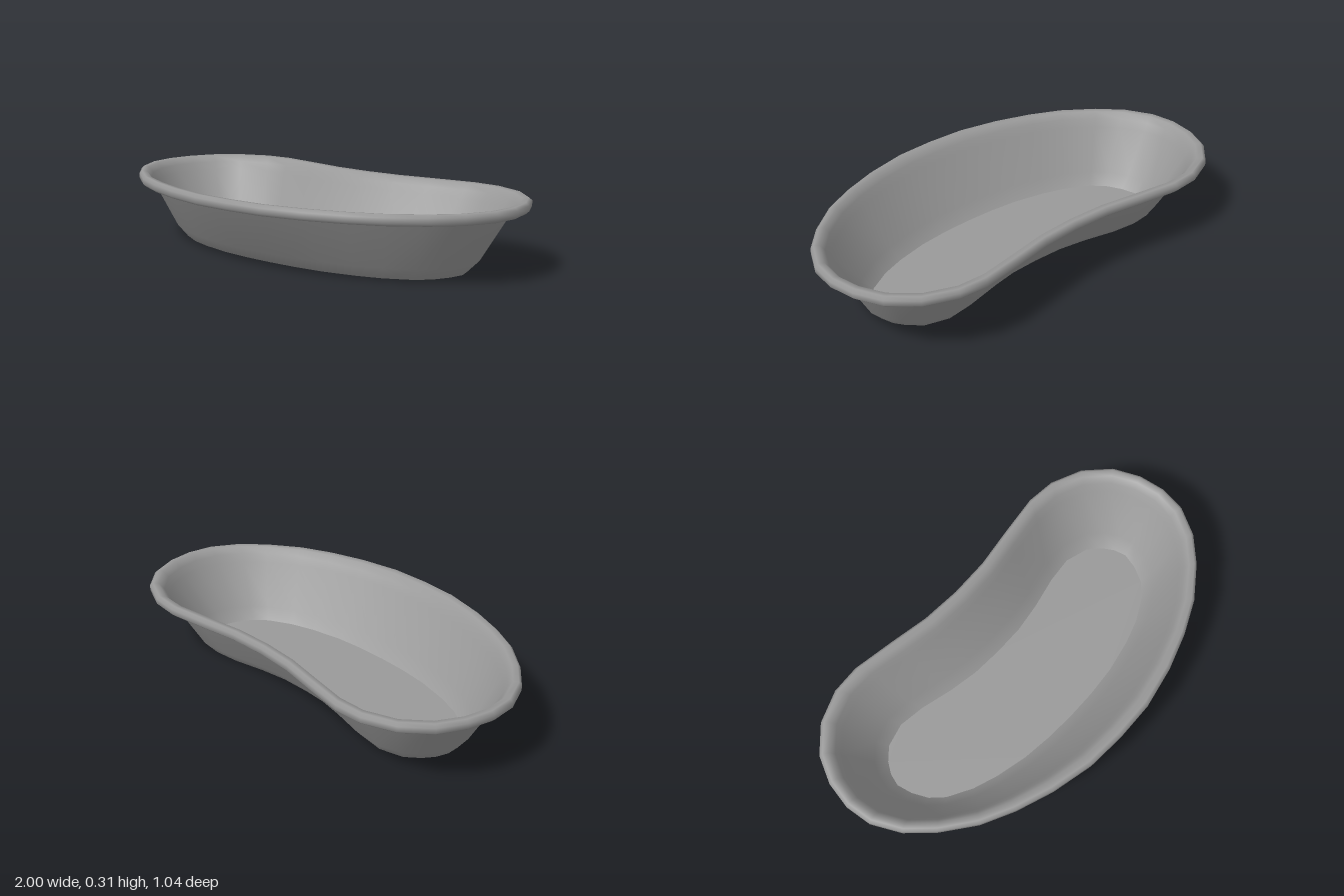
import * as THREE from 'three';

// Half outlines [x, z] from the middle of the concave back round to the front
const RIM = [[0, -0.453], [0.18, -0.462], [0.36, -0.492], [0.55, -0.52], [0.68, -0.51], [0.82, -0.452],
  [0.925, -0.352], [0.98, -0.235], [1, -0.115], [0.985, 0.005], [0.92, 0.13], [0.82, 0.235],
  [0.68, 0.34], [0.535, 0.41], [0.37, 0.467], [0.18, 0.508], [0, 0.516]];
const FLOOR = [[0, -0.208], [0.145, -0.213], [0.28, -0.235], [0.43, -0.271], [0.55, -0.285], [0.655, -0.255],
  [0.71, -0.205], [0.742, -0.155], [0.757, -0.1], [0.74, -0.03], [0.705, 0.04], [0.65, 0.095],
  [0.54, 0.155], [0.43, 0.192], [0.28, 0.225], [0.14, 0.239], [0, 0.243]];

// Mirror a half outline into a closed loop
const mirror = half => [...half, ...half.slice(1, -1).reverse().map(([x, z]) => [-x, z])];
const rim = mirror(RIM), floor = mirror(FLOOR);

// Skin a profile of [t, y] steps, where t runs from floor outline (0) to rim outline (1)
function sweep(profile) {
  const n = rim.length, positions = [], index = [];
  profile.forEach(([t, y], k) => {
    for (let i = 0; i < n; i++) {
      const [x0, z0] = floor[i], [x1, z1] = rim[i];
      positions.push(x0 + (x1 - x0) * t, y, z0 + (z1 - z0) * t);
      if (k === profile.length - 1) continue;
      const a = k * n + i, b = k * n + (i + 1) % n;
      index.push(a, b, a + n, b, b + n, a + n);
    }
  });
  const geometry = new THREE.BufferGeometry();
  geometry.setAttribute('position', new THREE.Float32BufferAttribute(positions, 3));
  geometry.setIndex(index);
  geometry.computeVertexNormals();
  return geometry;
}

export function createModel() {
  const group = new THREE.Group();
  group.name = 'kidneyDish';
  const material = new THREE.MeshStandardMaterial({ color: 0x999999, side: THREE.DoubleSide });
  const add = (name, geometry) => {
    const mesh = new THREE.Mesh(geometry, material);
    mesh.name = name;
    group.add(mesh);
  };

  // Flat kidney-shaped floor
  const shape = new THREE.Shape(floor.map(([x, z]) => new THREE.Vector2(x, -z)));
  add('floor', new THREE.ShapeGeometry(shape).rotateX(-Math.PI / 2));

  // Flaring wall that rolls over into an open, curled rim
  add('wallAndRim', sweep([[0, 0], [0.21, 0.053], [0.67, 0.245], [0.75, 0.28], [0.84, 0.307],
    [0.945, 0.31], [1, 0.298], [1, 0.275], [0.945, 0.263], [0.88, 0.262]]));
  return group;
}
